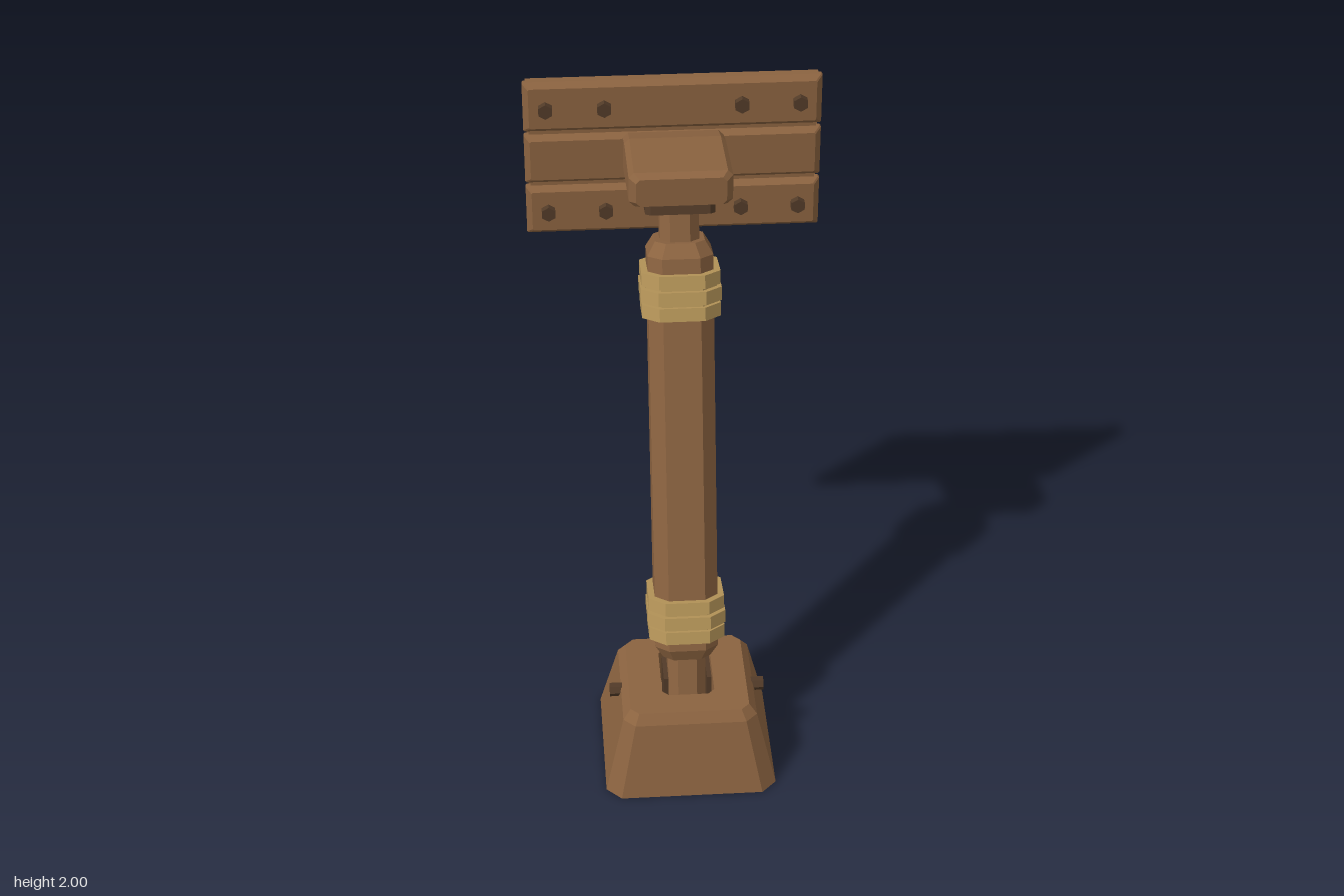
import * as THREE from 'three';

// Chamfered rectangle as 8 points, counter-clockwise from above: half sizes, corner cut, height, z centre
function ring([hx, hz, c, y, cz = 0]) {
  const a = hx - c, b = hz - c;
  return [[hx, b], [hx, -b], [a, -hz], [-a, -hz], [-hx, -b], [-hx, b], [-a, hz], [a, hz]]
    .map(([x, z]) => [x, y, z + cz]);
}

// Closed, flat-faced solid through a stack of rings
function loft(sections) {
  const rings = sections.map(ring), pos = [];
  const tri = (...pts) => pts.forEach((p) => pos.push(...p));
  for (let k = 0; k < rings.length - 1; k++) {
    for (let i = 0; i < 8; i++) {
      const j = (i + 1) % 8, lo = rings[k], hi = rings[k + 1];
      tri(lo[i], lo[j], hi[j]);
      tri(lo[i], hi[j], hi[i]);
    }
  }
  const first = rings[0], last = rings[rings.length - 1];
  for (let i = 1; i < 7; i++) {
    tri(first[0], first[i + 1], first[i]);
    tri(last[0], last[i], last[i + 1]);
  }
  const geo = new THREE.BufferGeometry();
  geo.setAttribute('position', new THREE.Float32BufferAttribute(pos, 3));
  geo.computeVertexNormals();
  return geo;
}

// Six-sided bolt head with flat faces
function hexGeometry(radius, length) {
  const geo = new THREE.CylinderGeometry(radius, radius, length, 6).toNonIndexed();
  geo.computeVertexNormals();
  return geo;
}

export function createModel() {
  const model = new THREE.Group();
  model.name = 'bracedPanel';
  const mat = (name, color) => {
    const m = new THREE.MeshStandardMaterial({ color });
    m.name = name;
    return m;
  };
  const wood = mat('wood', 0x8b6340);
  const rope = mat('rope', 0xb8975a);
  const iron = mat('darkIron', 0x523b28);
  const add = (parent, name, geo, material, x = 0, y = 0, z = 0) => {
    const m = new THREE.Mesh(geo, material);
    m.name = name;
    m.position.set(x, y, z);
    parent.add(m);
    return m;
  };

  // Tapered foot with bevelled top and a pocket for the strut
  add(model, 'foot', loft([
    [0.26, 0.26, 0.045, 0],
    [0.203, 0.203, 0.035, 0.235],
    [0.18, 0.18, 0.025, 0.265],
    [0.08, 0.112, 0.02, 0.265, -0.013],
    [0.08, 0.112, 0.02, 0.15, -0.013],
  ]), wood, 0, 0, 0.175);

  // Hinge plates and pin heads
  for (const side of [-1, 1]) {
    add(model, 'hingePlate', new THREE.BoxGeometry(0.014, 0.145, 0.11), iron, side * 0.066, 0.223, 0.178);
    add(model, 'pinHead', hexGeometry(0.021, 0.05), iron, side * 0.212, 0.222, 0.183).rotation.z = Math.PI / 2;
  }

  // Leaning strut, built along its own y axis from the hinge pin
  const strut = new THREE.Group();
  strut.name = 'strut';
  strut.position.set(0, 0.222, 0.183);
  strut.rotation.x = -0.229;
  model.add(strut);
  add(strut, 'strutCore', loft([
    [0.057, 0.057, 0.028, -0.05],
    [0.057, 0.057, 0.028, 1.56],
  ]), wood);
  add(strut, 'strutBeam', loft([
    [0.072, 0.072, 0.03, 0.125],
    [0.095, 0.095, 0.04, 0.165],
    [0.095, 0.095, 0.04, 1.4],
    [0.072, 0.072, 0.03, 1.44],
  ]), wood);
  add(strut, 'topFlange', loft([
    [0.1, 0.1, 0.015, 1.533],
    [0.1, 0.1, 0.015, 1.566],
  ]), iron);

  // Rope lashings: three turns near each end
  for (const s of [0.265, 1.287]) {
    for (const i of [-1, 0, 1]) {
      const r = i === 0 ? 0.117 : 0.114, y = s + i * 0.048;
      add(strut, 'ropeTurn', loft([
        [r, r, 0.048, y - 0.02],
        [r, r, 0.048, y + 0.02],
      ]), rope);
    }
    add(strut, 'ropeCore', loft([
      [0.103, 0.103, 0.043, s - 0.06],
      [0.103, 0.103, 0.043, s + 0.06],
    ]), rope);
  }

  // Wedge-shaped head, lofted from back to front
  add(model, 'head', loft([
    [0.147, 0.064, 0.015, -0.39, -1.773],
    [0.147, 0.068, 0.015, -0.3, -1.795],
    [0.147, 0.052, 0.015, -0.055, -1.829],
    [0.128, 0.042, 0.012, -0.03, -1.829],
  ]).rotateX(Math.PI / 2), wood);

  // Panel: backing board and three bevelled planks
  add(model, 'backBoard', new THREE.BoxGeometry(0.85, 0.485, 0.016), wood, 0, 1.755, -0.429);
  add(model, 'panelCore', new THREE.BoxGeometry(0.84, 0.47, 0.02), wood, 0, 1.755, -0.415);
  for (const y of [1.588, 1.755, 1.922]) {
    add(model, 'plank', loft([
      [0.435, 0.078, 0.004, -0.419],
      [0.435, 0.078, 0.004, -0.405],
      [0.418, 0.063, 0.004, -0.387],
    ]).rotateX(Math.PI / 2), wood, 0, y, 0);
  }

  // Bolts on the upper and lower planks
  for (const y of [1.588, 1.922]) {
    for (const x of [-0.37, -0.2, 0.2, 0.37]) {
      add(model, 'panelBolt', hexGeometry(0.023, 0.03), iron, x, y, -0.38).rotation.x = Math.PI / 2;
    }
  }
  return model;
}
